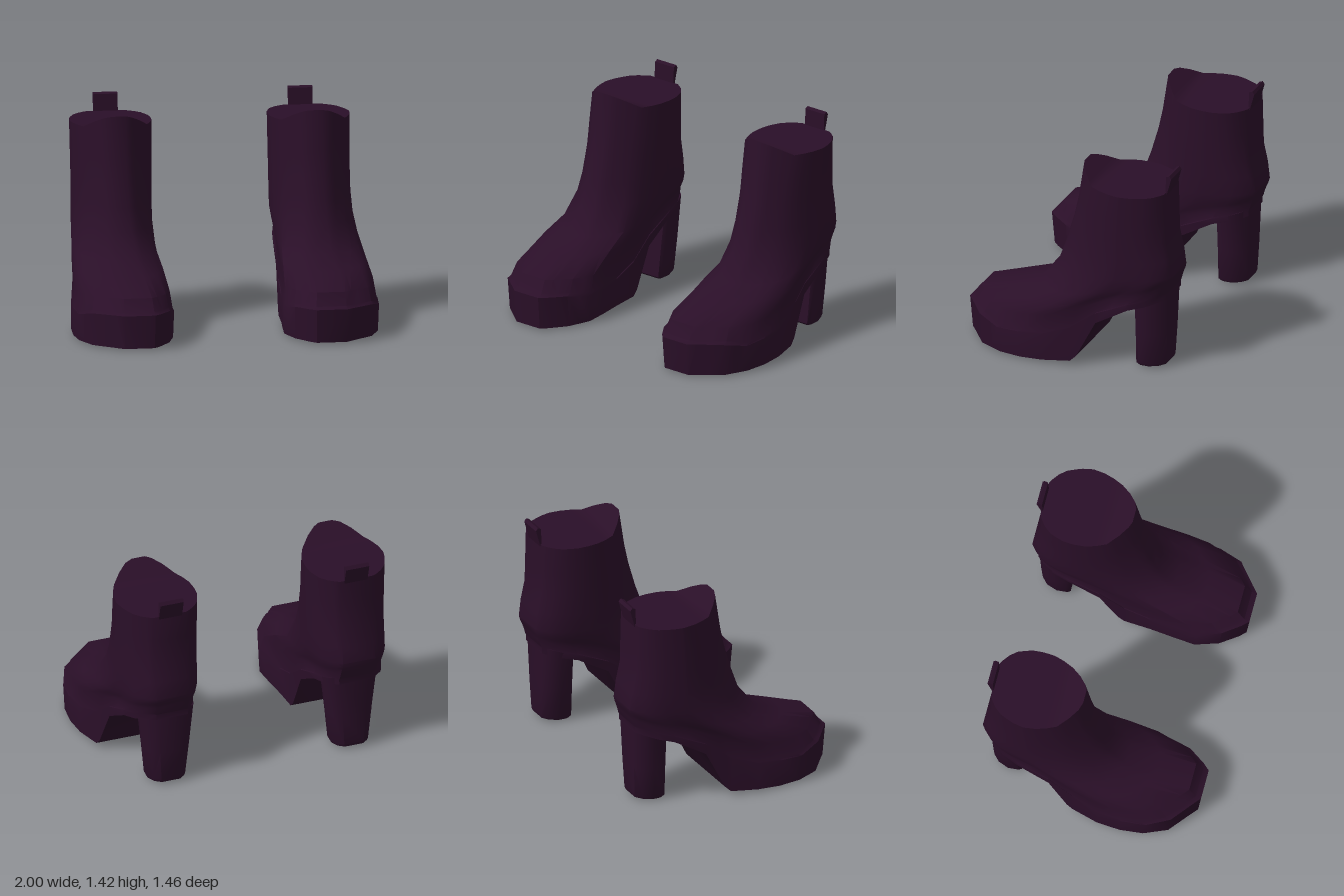
import * as THREE from 'three';
import { toCreasedNormals } from 'three/addons/utils/BufferGeometryUtils.js';

// Outlines run from the back (t = 0) to the front (t = 1): [t, inner x, outer x]
const FOOT = [
  [0, 0.52, 0.74], [0.06, 0.45, 0.84], [0.16, 0.42, 0.89], [0.31, 0.41, 0.91], [0.43, 0.4, 0.94],
  [0.56, 0.39, 0.99], [0.67, 0.375, 1.0], [0.78, 0.36, 0.985], [0.89, 0.41, 0.92], [0.97, 0.49, 0.78], [1, 0.53, 0.73],
];
const SHAFT = [
  [0, 0.53, 0.76], [0.06, 0.47, 0.82], [0.16, 0.42, 0.87], [0.3, 0.39, 0.905], [0.43, 0.384, 0.92],
  [0.56, 0.39, 0.91], [0.67, 0.41, 0.89], [0.78, 0.44, 0.86], [0.89, 0.5, 0.8], [0.97, 0.56, 0.74], [1, 0.6, 0.69],
];
const HEEL = [[0, 0.55, 0.71], [0.2, 0.5, 0.76], [0.55, 0.475, 0.79], [0.9, 0.485, 0.78], [1, 0.5, 0.765]];
const STATIONS = [0, 0.03, 0.08, 0.156, 0.24, 0.312, 0.404, 0.433, 0.56, 0.67, 0.78, 0.83, 0.89, 0.94, 0.97, 1];

// Linear interpolation in a table of rows keyed by the first column
function sample(rows, t, col = 1) {
  let i = 1;
  while (i < rows.length - 1 && rows[i][0] < t) i++;
  const a = rows[i - 1], b = rows[i];
  const k = Math.min(1, Math.max(0, (t - a[0]) / (b[0] - a[0])));
  return a[col] + (b[col] - a[col]) * k;
}

// One closed ring; mix 0 is the shaft outline, mix 1 is the foot outline
function footRing({ z: [zb, zf], y, mix = 0, scale = 1 }) {
  return STATIONS.map((t) => {
    const x = [1, 2].map((c) => {
      const v = THREE.MathUtils.lerp(sample(SHAFT, t, c), sample(FOOT, t, c), mix);
      return 0.67 + (v - 0.67) * scale;
    });
    return { inX: x[0], outX: x[1], y: sample(y, t), z: zb + (zf - zb) * t };
  });
}

function heelRing([zb, zf, yb, yf, scale]) {
  return HEEL.map(([t, a, b]) => ({
    inX: 0.635 + (a - 0.635) * scale, outX: 0.635 + (b - 0.635) * scale,
    y: yb + (yf - yb) * t, z: zb + (zf - zb) * t,
  }));
}

// Skin stacked rings and close both ends with strips across the width
function loft(rings, side) {
  const m = rings[0].length, n = m * 2, pos = [], idx = [];
  for (const r of rings) {
    for (const p of r) pos.push(side * p.outX, p.y, p.z);
    for (const p of [...r].reverse()) pos.push(side * p.inX, p.y, p.z);
  }
  const tri = (a, b, c) => (side > 0 ? idx.push(a, b, c) : idx.push(a, c, b));
  for (let k = 0; k < rings.length - 1; k++) {
    for (let i = 0; i < n; i++) {
      const a = k * n + i, b = k * n + ((i + 1) % n);
      tri(a, a + n, b);
      tri(b, a + n, b + n);
    }
  }
  const top = (rings.length - 1) * n;
  for (let i = 0; i < m - 1; i++) {
    const o = i, q = n - 1 - i;
    tri(top + o, top + q, top + o + 1);
    tri(top + o + 1, top + q, top + q - 1);
    tri(o, o + 1, q);
    tri(o + 1, q - 1, q);
  }
  const g = new THREE.BufferGeometry();
  g.setAttribute('position', new THREE.Float32BufferAttribute(pos, 3));
  g.setIndex(idx);
  return toCreasedNormals(g, 0.7);
}

// Platform and arch underside, toe seam, vamp, then the ankle shaft
const BODY = [
  { z: [-0.68, 0.71], mix: 1, scale: 0.985, y: [[0, 0.52], [0.156, 0.46], [0.312, 0.33], [0.404, 0.07], [0.433, 0.03], [0.67, 0.015], [1, 0.01]] },
  { z: [-0.68, 0.73], mix: 1, y: [[0, 0.56], [0.156, 0.5], [0.312, 0.4], [0.433, 0.27], [0.56, 0.21], [0.78, 0.19], [0.89, 0.225], [1, 0.23]] },
  { z: [-0.685, 0.695], mix: 1, scale: 0.98, y: [[0, 0.57], [0.156, 0.51], [0.312, 0.41], [0.433, 0.28], [0.56, 0.22], [0.78, 0.205], [0.89, 0.24], [1, 0.245]] },
  { z: [-0.7, 0.65], mix: 0.95, scale: 0.95, y: [[0, 0.62], [0.3, 0.5], [0.5, 0.37], [0.75, 0.31], [1, 0.33]] },
  { z: [-0.71, 0.42], mix: 0.75, scale: 0.95, y: [[0, 0.65], [0.3, 0.56], [0.6, 0.43], [1, 0.415]] },
  { z: [-0.718, 0.22], mix: 0.5, scale: 0.96, y: [[0, 0.67], [0.4, 0.59], [0.7, 0.51], [1, 0.49]] },
  { z: [-0.725, 0.1], mix: 0.2, scale: 0.97, y: [[0, 0.7], [1, 0.65]] },
  { z: [-0.71, 0.05], mix: 0.06, scale: 0.97, y: [[0, 0.82], [1, 0.8]] },
  { z: [-0.68, 0], scale: 0.98, y: [[0, 0.95], [1, 0.98]] },
  { z: [-0.675, -0.03], scale: 0.99, y: [[0, 1.12], [1, 1.12]] },
  { z: [-0.67, -0.07], y: [[0, 1.3], [0.78, 1.3], [1, 1.385]] },
];

// Block heel: back z, front z, back y, front y, width scale
const HEEL_RINGS = [
  [-0.655, -0.48, 0.02, 0.0, 0.78], [-0.662, -0.465, 0.04, 0.015, 0.84],
  [-0.67, -0.47, 0.25, 0.25, 1.0], [-0.678, -0.475, 0.57, 0.5, 1.2],
];

// Pull tab side section, extruded across the width
function tabGeometry() {
  const s = new THREE.Shape([[0.668, 1.27], [0.676, 1.3], [0.703, 1.4], [0.69, 1.42], [0.667, 1.41], [0.66, 1.27]]
    .map(([z, y]) => new THREE.Vector2(z, y)));
  const g = new THREE.ExtrudeGeometry(s, { depth: 0.16, bevelEnabled: false });
  g.translate(0, 0, -0.08);
  g.rotateY(Math.PI / 2); // section x becomes -z
  return g;
}

export function createModel() {
  const leather = new THREE.MeshStandardMaterial({ color: 0x2a0f28 });
  leather.name = 'dark plum leather';
  const model = new THREE.Group();
  model.name = 'ankleBoots';

  for (const [name, side] of [['leftBoot', 1], ['rightBoot', -1]]) {
    const boot = new THREE.Group();
    boot.name = name;
    const add = (part, geometry) => {
      const mesh = new THREE.Mesh(geometry, leather);
      mesh.name = part;
      boot.add(mesh);
      return mesh;
    };
    add('upperAndPlatform', loft(BODY.map(footRing), side));
    add('heel', loft(HEEL_RINGS.map(heelRing), side));
    add('pullTab', tabGeometry()).position.x = side * 0.64;
    model.add(boot);
  }
  return model;
}
